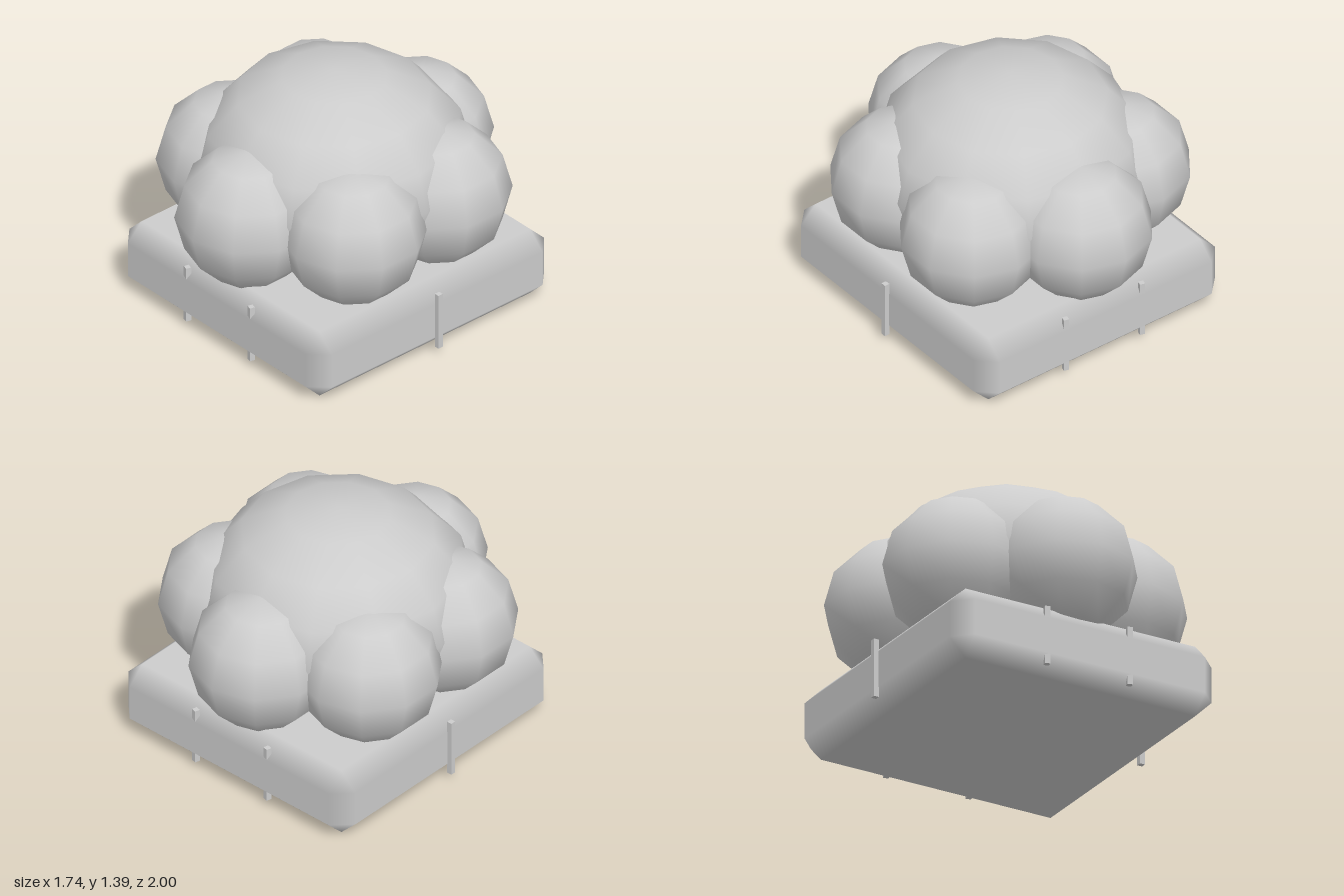
import * as THREE from 'three';
import { ConvexGeometry } from 'three/addons/geometries/ConvexGeometry.js';

// Box with single-step bevels; normals follow the nearest flat face so the bevels shade smoothly.
function bevelledBox(w, h, d, bevel) {
  const half = [w / 2, h / 2, d / 2];
  const points = [];
  for (let axis = 0; axis < 3; axis++)
    for (const sx of [-1, 1]) for (const sy of [-1, 1]) for (const sz of [-1, 1]) {
      const p = [sx, sy, sz].map((s, i) => s * (half[i] - (i === axis ? 0 : bevel)));
      points.push(new THREE.Vector3(...p));
    }
  const geometry = new ConvexGeometry(points);
  const pos = geometry.attributes.position;
  const normal = geometry.attributes.normal;
  for (let i = 0; i < pos.count; i++) {
    const p = [pos.getX(i), pos.getY(i), pos.getZ(i)];
    normal.setXYZ(i, ...p.map((v, k) => (Math.abs(v) > half[k] - 0.001 ? Math.sign(v) : 0)));
  }
  return geometry;
}

export function createModel() {
  const group = new THREE.Group();
  const grey = new THREE.MeshStandardMaterial({ color: 0xcccccc });
  grey.name = 'grey';

  function add(name, geometry, x, y, z) {
    const mesh = new THREE.Mesh(geometry, grey);
    mesh.name = name;
    mesh.position.set(x, y, z);
    group.add(mesh);
    return mesh;
  }

  // Bevelled base, slightly off centre
  const baseX = 0.015;
  add('base', bevelledBox(1.62, 0.405, 1.69, 0.1), baseX, 0.2025, 0);

  // Flattened central dome
  const dome = add('dome', new THREE.SphereGeometry(0.74, 12, 8), 0, 0.836, 0);
  dome.scale.y = 0.75;

  // Ring of six balls around the dome
  const ball = new THREE.SphereGeometry(0.4, 10, 6).rotateY(Math.PI / 2);
  for (const side of [-1, 1]) {
    add('endBall', ball, 0, 0.733, side * 0.6);
    for (const end of [-1, 1]) add('sideBall', ball, side * 0.488, 0.733, end * 0.3);
  }

  // Thin upright pegs let into the four sides of the base
  const peg = new THREE.BoxGeometry(0.03, 0.335, 0.03);
  for (const side of [-1, 1]) {
    add('sidePeg', peg, baseX + side * 0.822, 0.207, 0);
    for (const end of [-1, 1])
      add('endPeg', peg, baseX + side * 0.255, 0.207, end * 0.825).rotation.y = -Math.PI / 12;
  }
  return group;
}
